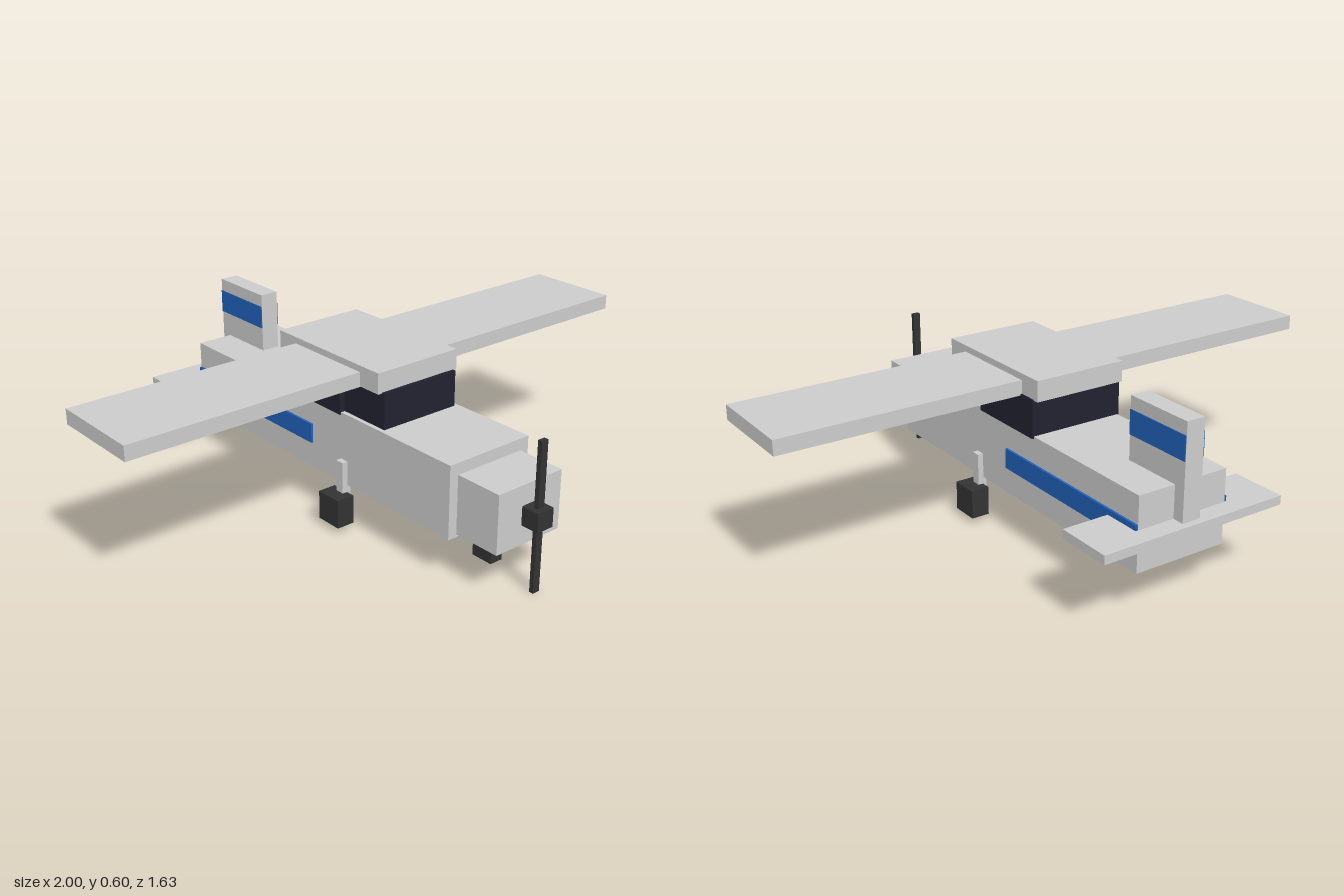
import * as THREE from 'three';

const paint = (color) => new THREE.MeshStandardMaterial({ color, flatShading: true });

export function createModel() {
  const model = new THREE.Group();
  const grey = paint(0xcccccc);
  const dark = paint(0x333333);
  const glass = paint(0x222230);
  const blue = paint(0x2060b8);

  // Box given by its extents along each axis
  function block(name, [x0, x1], [y0, y1], [z0, z1], material = grey) {
    const mesh = new THREE.Mesh(new THREE.BoxGeometry(x1 - x0, y1 - y0, z1 - z0), material);
    mesh.position.set((x0 + x1) / 2, (y0 + y1) / 2, (z0 + z1) / 2);
    mesh.name = name;
    model.add(mesh);
  }
  const wide = (half) => [-half, half];

  // Body
  block('fuselage', wide(0.165), [0.145, 0.395], [-0.75, 0.58]);
  block('engineCowl', wide(0.132), [0.155, 0.355], [0.57, 0.75]);
  block('bodyStripe', wide(0.173), [0.235, 0.303], [-0.749, -0.08], blue);

  // Cabin
  block('windscreen', wide(0.15), [0.39, 0.518], [0.05, 0.265], glass);
  block('cabinWindows', wide(0.17), [0.387, 0.518], [-0.23, 0.07], glass);
  block('cabinRoof', wide(0.165), [0.515, 0.585], [-0.25, 0.253]);

  // Flying surfaces
  block('wing', wide(1), [0.513, 0.563], wide(0.165));
  block('tailplane', wide(0.335), [0.255, 0.285], [-0.815, -0.62]);
  block('tailFin', wide(0.033), [0.27, 0.603], [-0.79, -0.54]);
  block('finStripe', wide(0.036), [0.48, 0.56], [-0.789, -0.541], blue);

  // Propeller
  block('propellerHub', wide(0.032), [0.222, 0.286], [0.74, 0.815], dark);
  block('propellerBlade', wide(0.013), [0, 0.505], [0.779, 0.795], dark);

  // Nose gear
  block('noseStrut', wide(0.015), [0.07, 0.16], [0.57, 0.6]);
  block('noseWheel', wide(0.024), [0.03, 0.11], [0.545, 0.625], dark);

  // Main gear, mirrored
  for (const [side, s] of [['left', 1], ['right', -1]]) {
    const span = (a, b) => (s > 0 ? [a, b] : [-b, -a]);
    block(`${side}Strut`, span(0.153, 0.185), [0.065, 0.23], [0.068, 0.1]);
    block(`${side}Wheel`, span(0.167, 0.232), [0.02, 0.12], [0.035, 0.133], dark);
  }
  return model;
}
